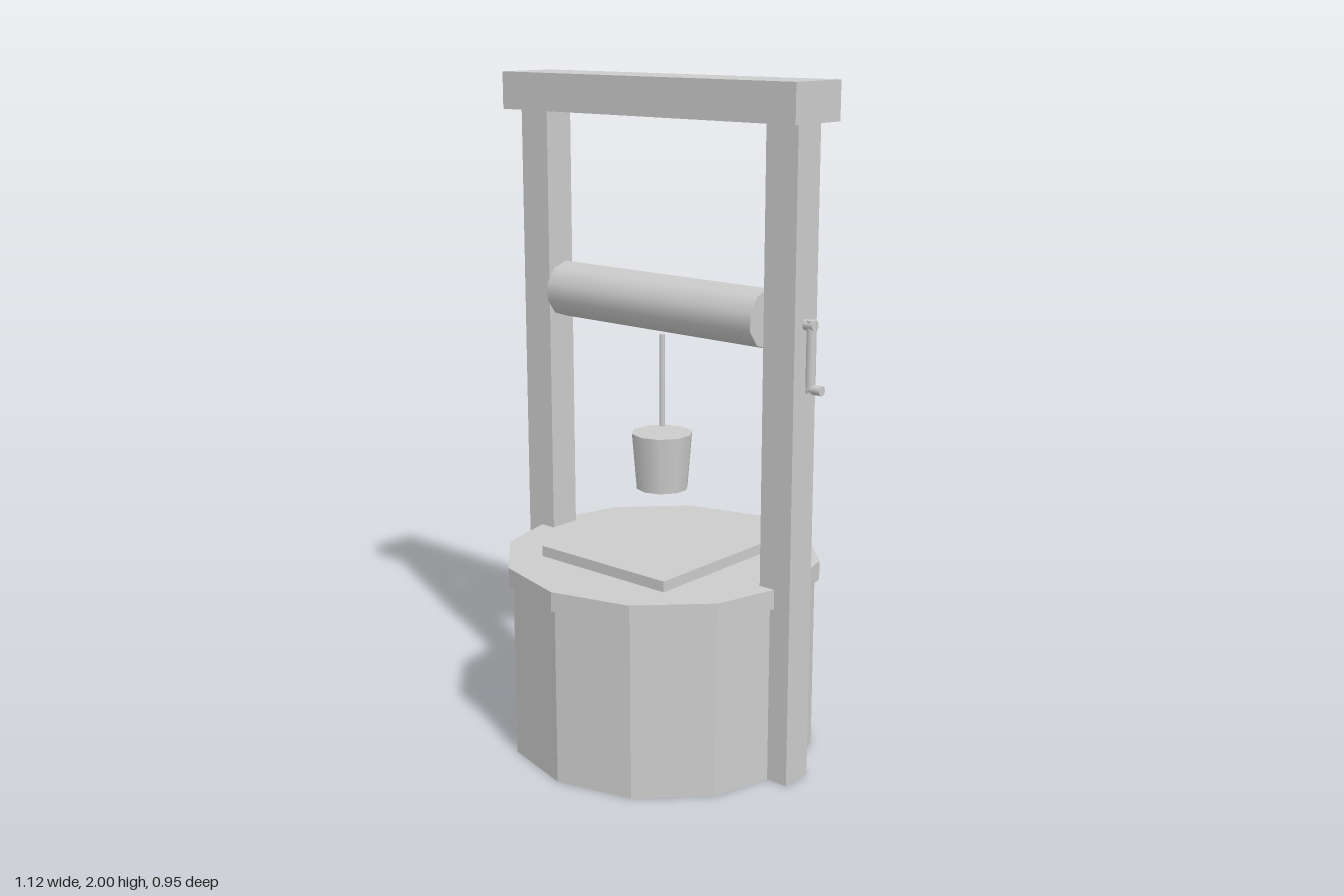
import * as THREE from 'three';

export function createModel() {
  const well = new THREE.Group();
  well.name = 'well';
  const grey = new THREE.MeshStandardMaterial({ color: 0xcccccc });
  grey.name = 'light grey';
  const cx = -0.017; // the crank shifts the well slightly off centre

  function add(name, geometry, x, y, z = 0) {
    const mesh = new THREE.Mesh(geometry, grey);
    mesh.name = name;
    mesh.position.set(x, y, z);
    well.add(mesh);
    return mesh;
  }
  // box given by its ranges in x and y, and its half depth
  function box(name, x0, x1, y0, y1, halfDepth) {
    const g = new THREE.BoxGeometry(x1 - x0, y1 - y0, halfDepth * 2);
    return add(name, g, (x0 + x1) / 2, (y0 + y1) / 2);
  }
  // ten-sided smooth rod lying along x
  function rodX(name, x0, x1, y, r) {
    const g = new THREE.CylinderGeometry(r, r, x1 - x0, 10, 1, false, Math.PI / 2);
    g.rotateZ(Math.PI / 2);
    return add(name, g, (x0 + x1) / 2, y);
  }
  // ten-sided smooth upright rod or cone
  function rodY(name, x, y0, y1, rTop, rBottom = rTop) {
    return add(name, new THREE.CylinderGeometry(rTop, rBottom, y1 - y0, 10), x, (y0 + y1) / 2);
  }
  // twelve-sided faceted ring profile
  function facetedLathe(name, points) {
    const profile = points.map(([r, y]) => new THREE.Vector2(r, y));
    const g = new THREE.LatheGeometry(profile, 12).toNonIndexed();
    g.computeVertexNormals();
    return add(name, g, cx, 0);
  }

  // base with a shallow recess underneath, and its overhanging rim
  facetedLathe('wellBase', [[0, 0.02], [0.25, 0.02], [0.25, 0], [0.463, 0], [0.463, 0.53]]);
  facetedLathe('wellRim', [[0.44, 0.53], [0.477, 0.53], [0.477, 0.588], [0, 0.588]]);
  box('lid', cx - 0.241, cx + 0.241, 0.585, 0.62, 0.27);

  // frame
  for (const side of [-1, 1]) {
    const x = cx + side * 0.465;
    box(side < 0 ? 'rightPost' : 'leftPost', x - 0.053, x + 0.053, 0, 1.89, 0.05);
  }
  box('topBeam', cx - 0.545, cx + 0.545, 1.89, 2, 0.1);

  // winding drum, axle and crank
  rodX('drum', cx - 0.39, cx + 0.39, 1.35, 0.085);
  rodX('axle', -0.56, 0.533, 1.35, 0.016);
  rodY('crankArm', 0.521, 1.162, 1.364, 0.0145);
  rodX('crankHandle', 0.515, 0.56, 1.173, 0.0145);

  // rope and bucket
  rodY('rope', cx, 0.98, 1.257, 0.0085);
  rodY('bucket', cx, 0.79, 0.96, 0.092, 0.078);

  return well;
}
